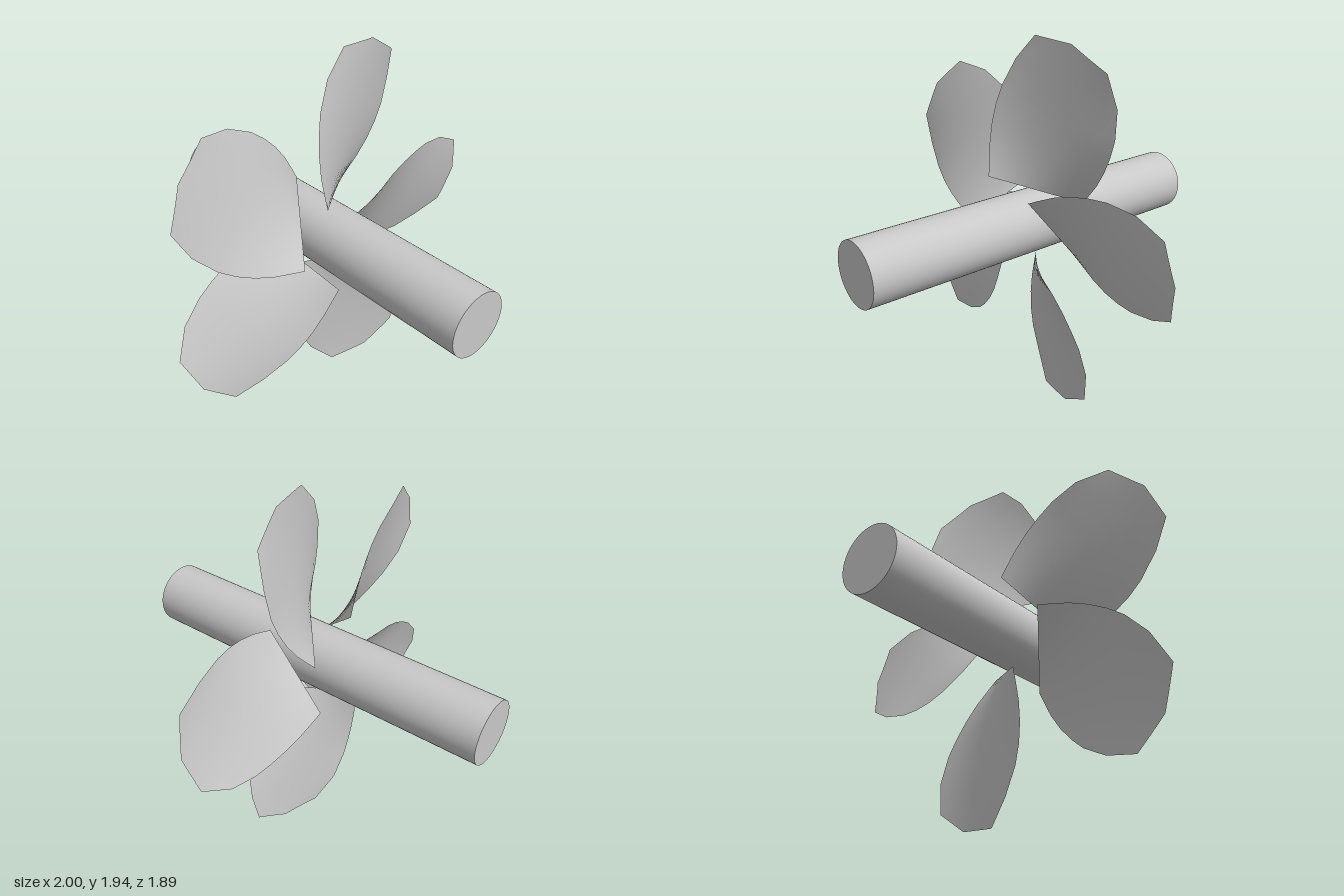
import * as THREE from 'three';

const HUB_Y = 0.97, HUB_Z = 0.055;

// Blade rows from root to tip: [radius, half width, x at trailing edge, x at leading edge]
const ROWS = [
  [0.195, 0.19, -0.16, 0.16],
  [0.25, 0.216, -0.154, 0.151],
  [0.35, 0.26, -0.142, 0.135],
  [0.45, 0.29, -0.13, 0.12],
  [0.55, 0.307, -0.12, 0.103],
  [0.65, 0.311, -0.112, 0.082],
  [0.8, 0.285, -0.097, 0.051],
  [0.95, 0.21, -0.05, 0.032],
];
const TIP_BULGE = 0.05;
const ACROSS = 10;

// Twisted, slightly cambered sheet pointing along +z, width along y
function bladeGeometry() {
  const positions = [], index = [];
  ROWS.forEach(([r, half, xTrail, xLead], row) => {
    const bulge = row === ROWS.length - 1 ? TIP_BULGE : 0;
    for (let j = 0; j <= ACROSS; j++) {
      const s = -1 + (2 * j) / ACROSS;
      const x = ((xTrail - xLead) / 2) * s + ((xTrail + xLead) / 2) * s * s;
      positions.push(x, half * s, r + bulge * (1 - Math.abs(s)));
      if (row > 0 && j > 0) {
        const d = row * (ACROSS + 1) + j, c = d - 1;
        const b = d - ACROSS - 1, a = b - 1;
        index.push(a, b, d, a, d, c);
      }
    }
  });
  const geometry = new THREE.BufferGeometry();
  geometry.setAttribute('position', new THREE.Float32BufferAttribute(positions, 3));
  geometry.setIndex(index);
  geometry.computeVertexNormals();
  return geometry;
}

export function createModel() {
  const model = new THREE.Group();
  model.name = 'propeller';

  const grey = new THREE.MeshStandardMaterial({ color: 0xc8c8c8, side: THREE.DoubleSide });
  grey.name = 'light grey';

  // Shaft along x
  const shaft = new THREE.Mesh(new THREE.CylinderGeometry(0.165, 0.165, 2, 48), grey);
  shaft.name = 'shaft';
  shaft.rotation.z = Math.PI / 2;
  shaft.position.set(0, HUB_Y, HUB_Z);
  model.add(shaft);

  // Five blades around the shaft
  const blades = new THREE.Group();
  blades.name = 'blades';
  blades.position.set(0, HUB_Y, HUB_Z);
  const geometry = bladeGeometry();
  for (let i = 0; i < 5; i++) {
    const blade = new THREE.Mesh(geometry, grey);
    blade.name = `blade${i + 1}`;
    blade.rotation.x = -THREE.MathUtils.degToRad(36 + 72 * i);
    blades.add(blade);
  }
  model.add(blades);
  return model;
}
